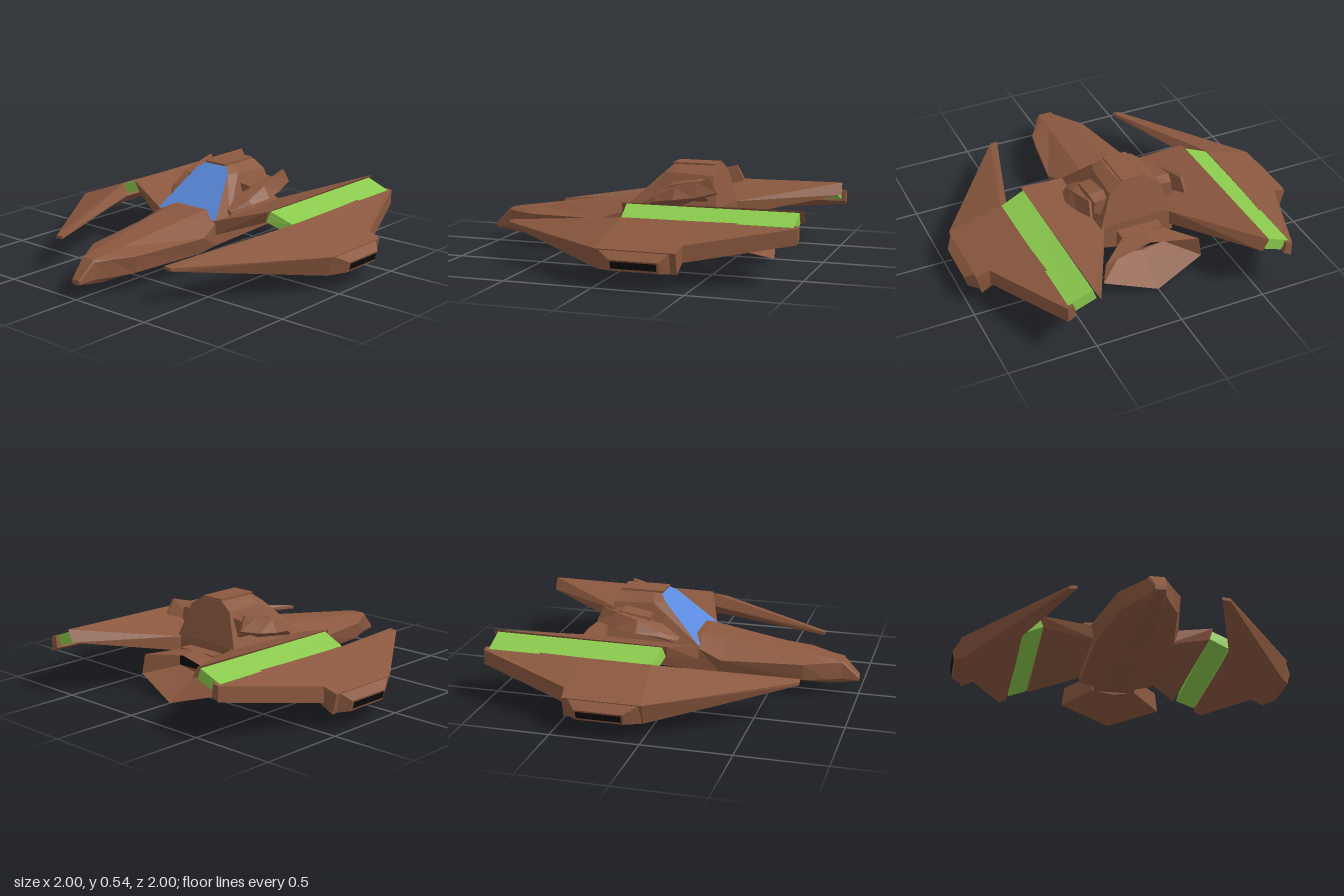
import * as THREE from 'three';

const material = (name, color) => {
  const m = new THREE.MeshStandardMaterial({ color, side: THREE.DoubleSide });
  m.name = name;
  return m;
};

// Faceted mesh from a flat list of corner points, wound outwards
function facets(name, tris, mat) {
  const v = tris.map((p) => new THREE.Vector3(...p));
  const c = v.reduce((s, p) => s.add(p), new THREE.Vector3()).divideScalar(v.length);
  let volume = 0;
  for (let i = 0; i < v.length; i += 3) {
    const [a, b, d] = [0, 1, 2].map((k) => v[i + k].clone().sub(c));
    volume += a.dot(b.cross(d));
  }
  if (volume < 0) v.reverse();
  const g = new THREE.BufferGeometry().setFromPoints(v);
  g.computeVertexNormals();
  const mesh = new THREE.Mesh(g, mat);
  mesh.name = name;
  return mesh;
}

const fan = (p) => p.slice(2).flatMap((q, i) => [p[0], p[i + 1], q]);
const panel = (name, pts, mat) => facets(name, fan(pts), mat);

// Skin between cross-section loops of equal length, with optional end caps
function loft(name, loops, mat, capStart = true, capEnd = true) {
  const tris = [];
  for (let s = 0; s + 1 < loops.length; s++) {
    const a = loops[s], b = loops[s + 1], n = a.length;
    for (let i = 0; i < n; i++) {
      const j = (i + 1) % n;
      tris.push(a[i], b[i], b[j], a[i], b[j], a[j]);
    }
  }
  if (capStart) tris.push(...fan([...loops[0]].reverse()));
  if (capEnd) tris.push(...fan(loops[loops.length - 1]));
  return facets(name, tris, mat);
}

// Full loop from the +x half of a symmetric section
const symmetric = (half) => [...half, ...half.map(([x, y, z]) => [-x, y, z]).reverse()];
// Loop of [x, y] corners placed at one z
const at = (z, pts) => pts.map(([x, y]) => [x, y, z]);

export function createModel() {
  const brown = material('hull brown', 0x8b583f);
  const green = material('stripe green', 0x8bc94d);
  const blue = material('glass blue', 0x5b8be0);
  const black = material('vent black', 0x0b0b0b);
  const model = new THREE.Group();
  model.name = 'spacecraft';

  // Long tapering hull
  const hull = [
    [1.0, [[0.025, 0.112], [0.03, 0.105], [0.03, 0.09], [0.02, 0.085]]],
    [0.905, [[0.04, 0.208], [0.048, 0.195], [0.05, 0.1], [0.03, 0.072]]],
    [0.83, [[0.047, 0.22], [0.09, 0.2], [0.085, 0.1], [0.04, 0.065]]],
    [0.7, [[0.058, 0.238], [0.17, 0.206], [0.15, 0.108], [0.05, 0.067]]],
    [0.25, [[0.1, 0.3], [0.25, 0.217], [0.22, 0.12], [0.07, 0.09]]],
    [0.115, [[0.11, 0.32], [0.217, 0.265], [0.22, 0.135], [0.08, 0.1]]],
    [-0.44, [[0.15, 0.3], [0.22, 0.28], [0.22, 0.16], [0.08, 0.13]]],
  ];
  model.add(loft('hull', hull.map(([z, half]) => symmetric(at(z, half))), brown));

  // Cockpit fairing with the windscreen as its front
  const screen = symmetric([[0.08, 0.525, -0.14], [0.122, 0.49, -0.104], [0.217, 0.28, 0.115]]);
  model.add(loft('cockpit', [
    screen,
    symmetric([[0.09, 0.528, -0.18], [0.145, 0.49, -0.17], [0.225, 0.28, 0.0]]),
    symmetric([[0.08, 0.528, -0.39], [0.15, 0.48, -0.4], [0.22, 0.29, -0.44]]),
  ], brown, false));
  model.add(panel('windscreen', screen, blue));
  const roof = new THREE.Mesh(new THREE.BoxGeometry(0.14, 0.012, 0.25), brown);
  roof.name = 'roofPlate';
  roof.position.set(0, 0.532, -0.26);
  model.add(roof);

  // Engine neck, flared hollow hood and exhaust
  const neck = new THREE.Mesh(new THREE.BoxGeometry(0.25, 0.11, 0.09), brown);
  neck.name = 'engineNeck';
  neck.position.set(0, 0.195, -0.465);
  model.add(neck);
  model.add(loft('engineHood', [
    symmetric([[0, 0.255, -0.51], [0.13, 0.24, -0.51], [0.13, 0.145, -0.51], [0, 0.125, -0.51]]),
    symmetric([[0, 0.25, -0.615], [0.285, 0.205, -0.64], [0.3, 0.09, -0.65], [0, 0, -0.72]]),
  ], brown, true, false));
  model.add(panel('exhaust', at(-0.518, [[-0.13, 0.15], [0.13, 0.15], [0.13, 0.24], [-0.13, 0.24]]), black));

  // Everything that repeats on both sides
  for (const [side, s] of [['left', 1], ['right', -1]]) {
    const group = new THREE.Group();
    group.name = side + 'Wing';
    const flip = (loop) => loop.map(([x, y, z]) => [s * x, y, z]);
    const add = (name, loops, mat) => group.add(loft(name, loops.map(flip), mat));

    // Inner panel rising from the hull, swept back to a spike
    add('innerWing', [
      [[0.2, 0.275, 0.12], [0.2, 0.285, -0.44], [0.2, 0.2, -0.44], [0.2, 0.19, 0.12]],
      [[0.512, 0.368, 0.015], [0.512, 0.378, -1], [0.475, 0.31, -1], [0.49, 0.3, 0.0]],
    ], brown);

    // Green stripe slab, capped at both ends
    add('wingStripe', [
      [[0.51, 0.363, -0.015], [0.65, 0.312, -0.035], [0.605, 0.262, -0.02], [0.49, 0.305, 0.0]],
      [[0.51, 0.366, -0.975], [0.65, 0.312, -0.975], [0.605, 0.262, -0.975], [0.49, 0.305, -0.975]],
    ], green);

    // Outer panel: rear spike, broad middle and forward prong
    add('outerWing', [
      at(-1, [[0.625, 0.317], [0.66, 0.31], [0.66, 0.225], [0.615, 0.25]]),
      at(-0.45, [[0.65, 0.315], [0.88, 0.228], [0.88, 0.138], [0.61, 0.245]]),
      at(-0.44, [[0.65, 0.315], [0.957, 0.2], [0.93, 0.085], [0.61, 0.24]]),
      [[0.655, 0.313, -0.035], [0.957, 0.2, 0.0], [0.92, 0.085, 0.0], [0.61, 0.245, -0.02]],
      at(0.73, [[0.392, 0.21], [0.435, 0.205], [0.435, 0.188], [0.39, 0.192]]),
    ], brown);

    // Bevelled pod on the wing end with a dark vent
    add('wingPod', [
      [[0.95, 0.2, -0.41], [0.95, 0.2, -0.01], [0.925, 0.086, -0.01], [0.925, 0.086, -0.41]],
      [[0.998, 0.155, -0.36], [0.998, 0.155, -0.09], [0.982, 0.095, -0.09], [0.982, 0.095, -0.36]],
    ], brown);
    group.add(panel('podVent', flip([
      [1.0, 0.147, -0.35], [1.0, 0.147, -0.1], [0.99, 0.108, -0.1], [0.99, 0.108, -0.35],
    ]), black));

    // Curved side fin beside the cockpit
    add('cockpitFin', [
      at(0.0, [[0.21, 0.32], [0.235, 0.31], [0.24, 0.295], [0.21, 0.28]]),
      at(-0.1, [[0.2, 0.39], [0.285, 0.37], [0.305, 0.345], [0.2, 0.29]]),
      at(-0.22, [[0.25, 0.43], [0.3, 0.43], [0.34, 0.365], [0.2, 0.31]]),
      at(-0.34, [[0.265, 0.46], [0.29, 0.465], [0.32, 0.38], [0.24, 0.36]]),
      [[0.27, 0.485, -0.42], [0.285, 0.488, -0.42], [0.295, 0.41, -0.46], [0.28, 0.4, -0.46]],
    ], brown);

    // Small housing between cockpit and fin
    add('sideHousing', [
      at(-0.165, [[0.15, 0.44], [0.235, 0.43], [0.25, 0.36], [0.15, 0.32]]),
      at(-0.33, [[0.15, 0.465], [0.245, 0.46], [0.265, 0.37], [0.15, 0.32]]),
      at(-0.385, [[0.15, 0.45], [0.235, 0.44], [0.24, 0.37], [0.15, 0.32]]),
    ], brown);
    model.add(group);
  }
  return model;
}
